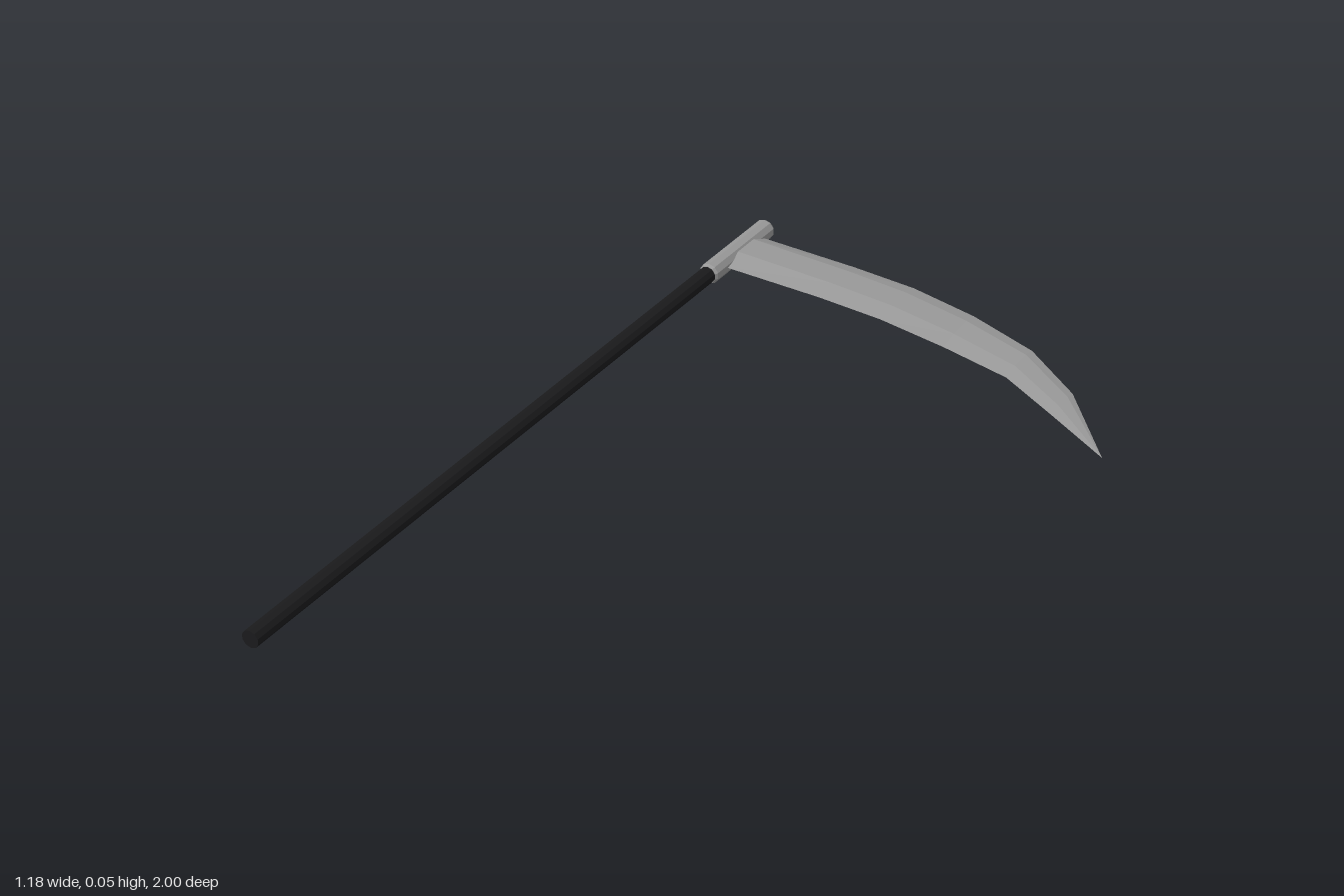
import * as THREE from 'three';

const AXIS_X = -0.57, AXIS_Y = 0.026;

// Faceted blade: a six-sided section swept along the curve, closing to a point
function bladeGeometry() {
  // x back, z back, x front, z front, half thickness
  const stations = [
    [-0.565, -0.95, -0.565, -0.78, 0.016],
    [-0.29, -0.938, -0.29, -0.77, 0.012],
    [-0.12, -0.923, -0.116, -0.755, 0.0095],
    [0.063, -0.88, 0.069, -0.72, 0.0082],
    [0.25, -0.81, 0.254, -0.675, 0.0075],
    [0.413, -0.69, 0.413, -0.585, 0.006],
    [0.587, -0.484, 0.587, -0.484, 0],
  ];
  // fraction across the blade, side of the mid plane
  const section = [[0, 0], [0.25, 1], [0.67, 1], [1, 0], [0.67, -1], [0.25, -1]];
  const n = section.length, pos = [], index = [];
  for (const [xb, zb, xf, zf, h] of stations)
    for (const [t, s] of section)
      pos.push(xb + (xf - xb) * t, AXIS_Y + 0.001 + s * h, zb + (zf - zb) * t);
  for (let i = 0; i < stations.length - 1; i++)
    for (let j = 0; j < n; j++) {
      const a = i * n + j, b = i * n + (j + 1) % n;
      index.push(a, b, a + n);
      if (i < stations.length - 2) index.push(b, b + n, a + n);
    }
  for (let j = 1; j < n - 1; j++) index.push(0, j + 1, j); // root cap
  const g = new THREE.BufferGeometry();
  g.setAttribute('position', new THREE.Float32BufferAttribute(pos, 3));
  g.setIndex(index);
  const flat = g.toNonIndexed();
  flat.computeVertexNormals();
  return flat;
}

// Faceted bar along z with a profile of [radius, z]
function bar(name, profile, material) {
  const g = new THREE.LatheGeometry(profile.map(([r, z]) => new THREE.Vector2(r, z)), 10);
  g.rotateX(Math.PI / 2);
  const flat = g.toNonIndexed();
  flat.computeVertexNormals();
  const mesh = new THREE.Mesh(flat, material);
  mesh.name = name;
  mesh.position.set(AXIS_X, AXIS_Y, 0);
  return mesh;
}

export function createModel() {
  const steel = new THREE.MeshStandardMaterial({ name: 'steel', color: 0x999999, flatShading: true });
  const darkWood = new THREE.MeshStandardMaterial({ name: 'darkWood', color: 0x1a1a1c, flatShading: true });

  const group = new THREE.Group();
  group.name = 'scythe';

  // Long handle
  group.add(bar('handle', [[0, -0.75], [0.021, -0.75], [0.021, 1], [0, 1]], darkWood));

  // Collar with bevelled ends
  group.add(bar('collar', [
    [0, -1], [0.019, -1], [0.026, -0.99], [0.026, -0.735], [0.022, -0.728], [0, -0.728],
  ], steel));

  // Curved blade
  const blade = new THREE.Mesh(bladeGeometry(), steel);
  blade.name = 'blade';
  group.add(blade);

  return group;
}
